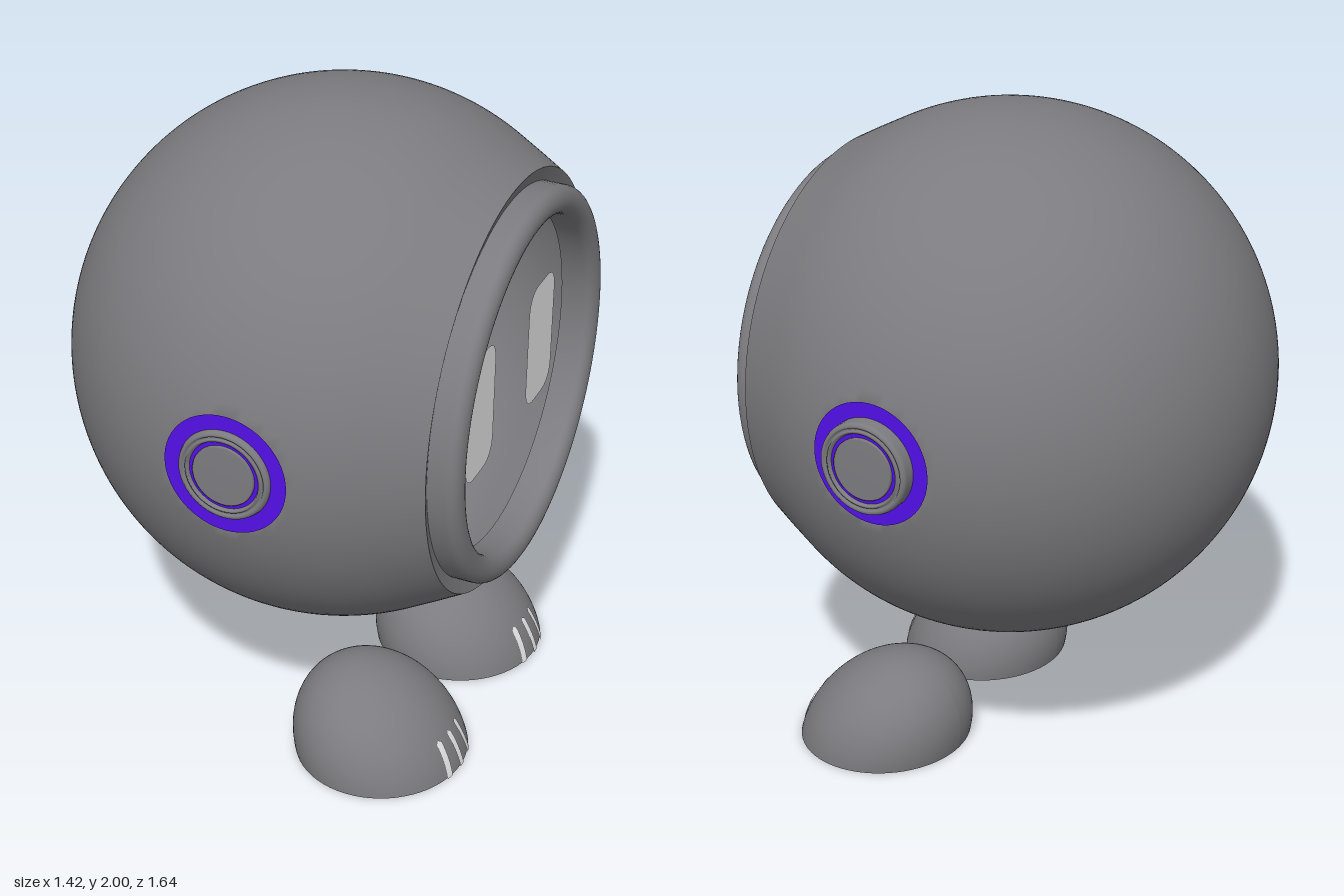
import * as THREE from 'three';

const CX = 0.1, CY = 1.19, CZ = 0.015, R = 0.81, FLAT = 0.787;

export function createModel() {
  const root = new THREE.Group();
  const material = (name, color) => {
    const m = new THREE.MeshStandardMaterial({ color, side: THREE.DoubleSide });
    m.name = name;
    return m;
  };
  const grey = material('shell grey', 0x7c7c80);
  const purple = material('accent purple', 0x5c12ff);
  const white = material('light white', 0xffffff);

  const add = (parent, name, geometry, mat) => {
    const mesh = new THREE.Mesh(geometry, mat);
    mesh.name = name;
    parent.add(mesh);
    return mesh;
  };
  const group = (parent, name, x, y, z) => {
    const g = new THREE.Group();
    g.name = name;
    g.position.set(x, y, z);
    parent.add(g);
    return g;
  };
  const lathe = (pts, segments = 64) =>
    new THREE.LatheGeometry(pts.map(p => new THREE.Vector2(p[0], p[1])), segments, Math.PI / 2);

  // Hollow head: a ball running tangentially into the face opening, flat at both sides
  const head = group(root, 'head', CX, CY, CZ);
  const profile = [];
  for (let i = 0; i <= 72; i++) {
    const a = Math.PI - (i / 72) * (Math.PI - 1.079);
    profile.push([Math.max(R * Math.sin(a), 0), R * Math.cos(a)]);
  }
  profile.push([0.675, 0.457], [0.635, 0.53]);
  const shell = lathe(profile, 160).rotateZ(-Math.PI / 2);
  const pos = shell.attributes.position, nor = shell.attributes.normal;
  for (let i = 0; i < pos.count; i++) {
    const z = pos.getZ(i);
    if (Math.abs(z) > FLAT) {
      pos.setZ(i, Math.sign(z) * FLAT);
      nor.setXYZ(i, 0, 0, Math.sign(z));
    }
  }
  add(head, 'headShell', shell, grey);
  add(head, 'openingLip', lathe([[0.635, 0.53], [0.59, 0.515]], 96).rotateZ(-Math.PI / 2), grey);

  // Rounded ring around the face opening
  const ring = [[0.592, 0.5], [0.592, 0.57]];
  for (let i = 0; i <= 14; i++) {
    const a = (i / 14) * Math.PI;
    ring.push([0.549 + 0.043 * Math.cos(a), 0.572 + 0.036 * Math.sin(a)]);
  }
  ring.push([0.506, 0.54], [0.51, 0.5]);
  add(head, 'faceRing', lathe(ring, 96).rotateZ(-Math.PI / 2), grey);

  // Eyes: thin rounded plates just inside the opening
  const w = 0.105, h = 0.197, r = 0.075;
  const eye = new THREE.Shape();
  eye.moveTo(-w + r, -h);
  eye.lineTo(w - r, -h);
  eye.quadraticCurveTo(w, -h, w, -h + r);
  eye.lineTo(w, h - r);
  eye.quadraticCurveTo(w, h, w - r, h);
  eye.lineTo(-w + r, h);
  eye.quadraticCurveTo(-w, h, -w, h - r);
  eye.lineTo(-w, -h + r);
  eye.quadraticCurveTo(-w, -h, -w + r, -h);
  for (const z of [0.262, -0.214]) {
    const mesh = add(root, 'eye', new THREE.ShapeGeometry(eye, 10).rotateY(Math.PI / 2), white);
    mesh.position.set(0.635, 1.217, z);
  }

  // Side buttons, each with an outer rim, a cap, purple rings and an inner stub
  for (const s of [1, -1]) {
    const button = group(root, 'sideButton', CX, CY, 0);
    if (s < 0) button.rotation.y = Math.PI;
    const flat = FLAT + s * CZ;
    const rim = [[0.14, 0.74], [0.14, 0.808], [0.137, 0.817], [0.13, 0.822],
      [0.124, 0.82], [0.12, 0.812], [0.116, 0.82], [0.11, 0.822], [0.105, 0.81]];
    add(button, 'buttonRim', lathe(rim).rotateX(Math.PI / 2), grey);
    add(button, 'buttonCap', lathe([[0.094, 0.8], [0.094, 0.818], [0.09, 0.821], [0, 0.821]])
      .rotateX(Math.PI / 2), grey);
    add(button, 'capRing', new THREE.RingGeometry(0.092, 0.107, 64), purple).position.z = 0.812;
    add(button, 'glowRing', new THREE.RingGeometry(0.13, 0.186, 64), purple).position.z = flat + 0.004;
    add(button, 'innerStub', lathe([[0, flat - 0.06], [0.16, flat - 0.06], [0.165, flat - 0.055], [0.165, flat]])
      .rotateX(Math.PI / 2), grey);
    add(button, 'innerGlowRing', new THREE.CylinderGeometry(0.178, 0.178, 0.03, 64, 1, true)
      .rotateX(Math.PI / 2), purple).position.z = flat - 0.025;
  }

  // Feet: half balls leaning back, with three light slots at the toe
  const FX = 0.265, FY = 0.28, FZ = 0.277, LEAN = 0.07;
  for (const z of [0.323, -0.31]) {
    const foot = group(root, z > 0 ? 'footA' : 'footB', 0.375, 0, z);
    const dome = new THREE.SphereGeometry(1, 64, 32, 0, Math.PI * 2, 0, Math.PI / 2);
    dome.scale(FX, FY, FZ);
    const p = dome.attributes.position;
    for (let i = 0; i < p.count; i++) p.setX(i, p.getX(i) - LEAN * p.getY(i) / FY);
    dome.computeVertexNormals();
    add(foot, 'footDome', dome, grey);
    const sole = new THREE.CircleGeometry(1, 64).rotateX(Math.PI / 2).scale(FX, 1, FZ);
    add(foot, 'footSole', sole, grey);

    for (const k of [-1, 0, 1]) {
      const slot = new THREE.PlaneGeometry(0.024, 1, 4, 16);
      const q = slot.attributes.position;
      for (let i = 0; i < q.count; i++) {
        const t = q.getY(i) + 0.5;
        const round = Math.sqrt(Math.max(0, 1 - Math.max(0, (t - 0.88) / 0.12) ** 2));
        const y = t * 0.115;
        const dz = k * (0.072 - 0.012 * t) - q.getX(i) * round;
        const c = Math.sqrt(1 - (dz / FZ) ** 2 - (y / FY) ** 2);
        q.setXYZ(i, FX * c - LEAN * y / FY + 0.004, y, dz);
      }
      slot.computeVertexNormals();
      add(foot, 'toeSlot', slot, white);
    }
  }
  return root;
}
